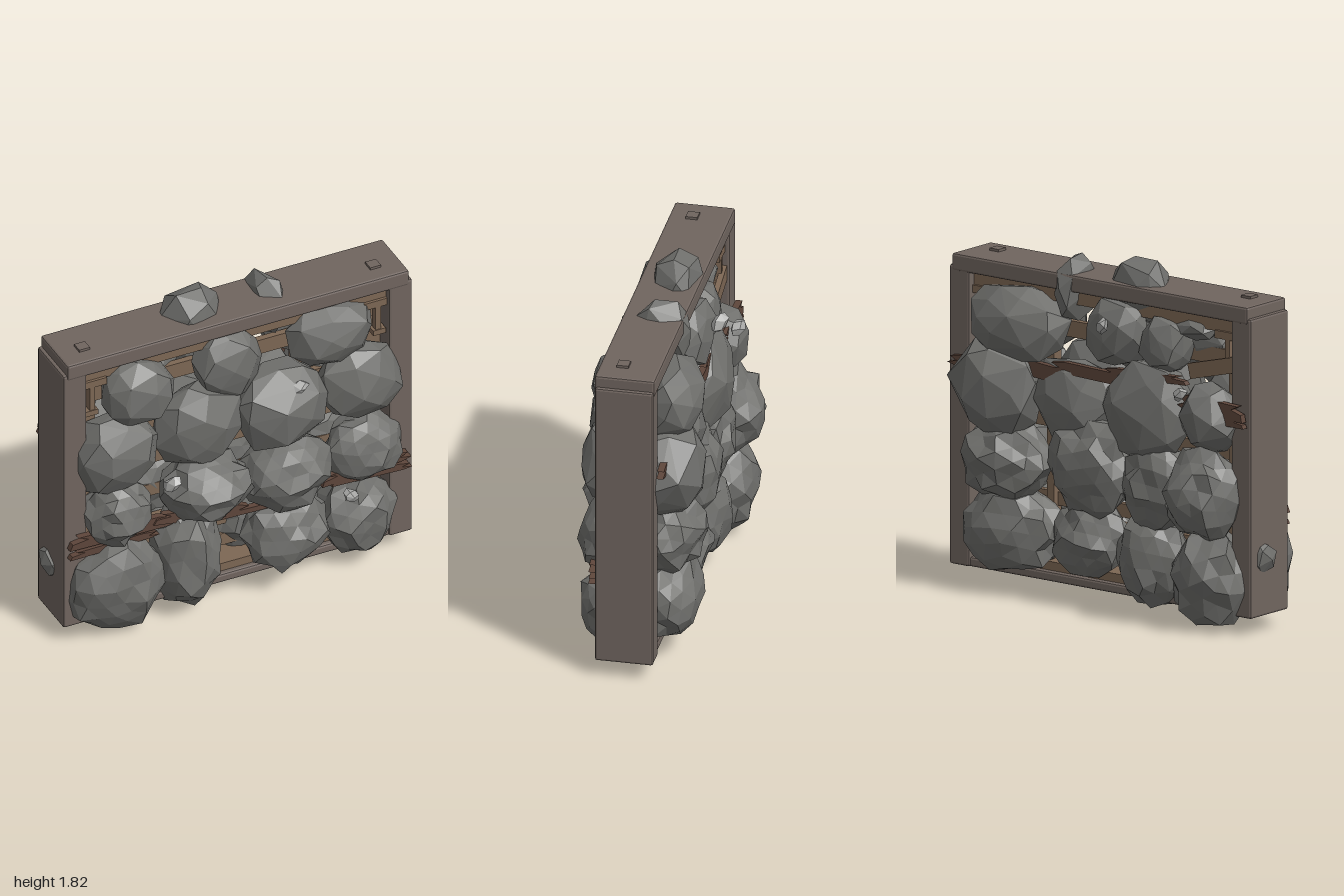
import * as THREE from 'three';
import { RoundedBoxGeometry } from 'three/addons/geometries/RoundedBoxGeometry.js';
import { ConvexGeometry } from 'three/addons/geometries/ConvexGeometry.js';

const mat = (color) => new THREE.MeshStandardMaterial({ color, flatShading: true });
const STONE = mat(0x70706d), BEAM = mat(0x70655f), WOOD = mat(0x7d6754), SPLIT = mat(0x5e463b), CHIP = mat(0xa8a8a6);

// Seeded random numbers
let seed = 11;
const rnd = () => {
  seed = (seed * 1664525 + 1013904223) % 4294967296;
  return seed / 4294967296;
};

function add(parent, name, geo, material, x = 0, y = 0, z = 0, rz = 0) {
  const m = new THREE.Mesh(geo, material);
  m.name = name;
  m.position.set(x, y, z);
  m.rotation.z = rz;
  parent.add(m);
  return m;
}

// Resize a geometry to exact half extents about its own centre
function fit(geo, hx, hy, hz) {
  geo.center();
  const b = geo.boundingBox ?? (geo.computeBoundingBox(), geo.boundingBox);
  geo.scale(hx / b.max.x, hy / b.max.y, hz / b.max.z);
  geo.computeVertexNormals();
  return geo;
}

// Broad-faceted boulder: hull of evenly spread, jittered points
function boulder(hx, hy, hz, n = 34) {
  const pts = [];
  const turn = rnd() * 6;
  for (let i = 0; i < n; i++) {
    const t = 1 - (2 * (i + 0.5)) / n, a = i * 2.4 + turn + rnd() * 0.5, r = Math.sqrt(1 - t * t);
    const p = new THREE.Vector3(r * Math.cos(a), t, r * Math.sin(a)).multiplyScalar(0.88 + rnd() * 0.2);
    const k = Math.max(Math.abs(p.x), Math.abs(p.y), Math.abs(p.z));
    pts.push(p.multiplyScalar(1 + 0.12 * (1 - k)));
  }
  return fit(new ConvexGeometry(pts), hx, hy, hz);
}

// Rough rubble: sphere whose shared corners move in and out together
function rubble(hx, hy, hz) {
  const geo = new THREE.IcosahedronGeometry(1, 2);
  geo.rotateX(rnd() * 6).rotateY(rnd() * 6);
  const pos = geo.attributes.position, moved = new Map(), v = new THREE.Vector3();
  for (let i = 0; i < pos.count; i++) {
    v.fromBufferAttribute(pos, i);
    const key = [v.x, v.y, v.z].map((c) => Math.round(c * 1000)).join();
    if (!moved.has(key)) moved.set(key, 0.84 + rnd() * 0.24);
    v.multiplyScalar(moved.get(key));
    pos.setXYZ(i, v.x, v.y, v.z);
  }
  return fit(geo, hx, hy, hz);
}

// Board broken at both ends into points
function splitBoard(length, height, depth) {
  const s = new THREE.Shape(), a = length / 2, b = height / 2;
  s.moveTo(-a, -b);
  for (const [x, y] of [[a * 0.8, -b], [a, -b * 0.6], [a * 0.75, -b * 0.1], [a * 0.93, b * 0.5],
    [a * 0.65, b], [-a * 0.85, b], [-a * 0.65, b * 0.4], [-a * 0.95, 0]]) s.lineTo(x, y);
  const geo = new THREE.ExtrudeGeometry(s, { depth, bevelEnabled: false });
  return geo.translate(0, 0, -depth / 2);
}

export function createModel() {
  seed = 11;
  const model = new THREE.Group();
  model.name = 'stoneWall';
  const group = (name) => {
    const g = new THREE.Group();
    g.name = name;
    model.add(g);
    return g;
  };

  // Heavy outer frame
  const frame = group('frame');
  const beam = (name, w, h, d, x, y) =>
    add(frame, name, new RoundedBoxGeometry(w, h, d, 1, 0.012), BEAM, x, y, 0);
  beam('rightPost', 0.13, 1.55, 0.3, -0.895, 0.875);
  beam('leftPost', 0.13, 1.55, 0.3, 0.93, 0.875);
  beam('topBeam', 1.915, 0.09, 0.31, 0.0175, 1.665);
  beam('bottomBeam', 1.72, 0.05, 0.28, 0.017, 0.125);
  for (const x of [-0.8, 0.83]) add(frame, 'topPeg', new THREE.BoxGeometry(0.06, 0.03, 0.06), BEAM, x, 1.708, 0.035);

  // Inner timber lining, boards and corner brackets
  const timber = group('timber');
  const board = (name, w, h, d, x, y, z, r = 0) =>
    add(timber, name, new THREE.BoxGeometry(w, h, d), WOOD, x, y, z, r);
  board('lintel', 1.7, 0.075, 0.22, 0.017, 1.585, 0);
  board('sill', 1.7, 0.05, 0.22, 0.017, 0.17, 0);
  board('sideLining', 0.1, 1.42, 0.08, -0.78, 0.86, 0);
  board('sideLining', 0.1, 1.42, 0.08, 0.82, 0.86, 0);
  board('upright', 0.045, 1.4, 0.06, -0.08, 0.85, 0.03);
  board('upright', 0.045, 1.4, 0.06, 0.42, 0.85, -0.02);
  for (const y of [0.27, 0.4, 0.5, 0.7, 0.9, 1.12, 1.39]) board('crossBoard', 1.6, y > 1.3 ? 0.085 : 0.07, 0.035, 0.017, y, 0);
  board('brace', 0.32, 0.07, 0.03, 0.74, 1.42, 0.04, 0.5);
  board('brace', 0.32, 0.08, 0.03, -0.7, 1.36, -0.12, -0.25);
  for (const z of [-0.1, 0.1]) for (const s of [-1, 1]) {
    const x = 0.017 + s * 0.785;
    board('bracketArm', 0.13, 0.04, 0.05, x, 1.535, z);
    board('bracketLeg', 0.03, 0.19, 0.04, x + s * 0.015, 1.44, z);
    board('bracketFoot', 0.07, 0.03, 0.05, x + s * 0.02, 1.36, z);
  }

  // Broken boards across the front and back: length, height, x, y, z, tilt
  const broken = group('brokenBoards');
  for (const [l, h, x, y, z, r] of [
    [0.6, 0.07, -0.64, 0.62, 0.17, -0.02], [0.5, 0.04, -0.69, 0.555, 0.17, 0.01],
    [0.55, 0.06, -0.2, 0.6, 0.18, -0.16], [0.5, 0.03, 0.15, 0.54, 0.18, -0.03],
    [0.5, 0.06, 0.72, 0.59, 0.17, 0.06], [0.45, 0.04, 0.75, 0.545, 0.17, -0.04],
    [0.5, 0.06, 0.72, 1.17, -0.18, 0.02], [0.45, 0.08, 0.42, 1.2, -0.18, 0.08],
    [0.6, 0.06, 0.02, 1.23, -0.18, 0.03], [0.55, 0.04, -0.3, 1.27, -0.18, -0.04],
    [0.42, 0.08, -0.73, 1.17, -0.18, 0.05], [0.35, 0.04, -0.77, 1.11, -0.18, 0]
  ]) add(broken, 'brokenBoard', splitBoard(l, h, 0.035), SPLIT, x, y, z, r);

  // Stones: x, y, half width, half height, outer reach in z; the lower courses are rougher
  const courses = {
    front: [
      [-0.53, 1.41, 0.2, 0.2, 0.25], [-0.02, 1.43, 0.19, 0.21, 0.23], [0.55, 1.44, 0.24, 0.18, 0.26],
      [-0.65, 1.08, 0.23, 0.23, 0.29], [-0.2, 1.12, 0.24, 0.23, 0.27], [0.25, 1.11, 0.25, 0.24, 0.33], [0.7, 1.11, 0.23, 0.22, 0.28],
      [-0.66, 0.74, 0.19, 0.2, 0.31], [-0.17, 0.75, 0.24, 0.19, 0.37], [0.27, 0.71, 0.26, 0.21, 0.36], [0.73, 0.71, 0.22, 0.2, 0.29],
      [-0.67, 0.32, 0.27, 0.31, 0.33], [-0.28, 0.33, 0.19, 0.31, 0.32], [0.27, 0.33, 0.24, 0.23, 0.34], [0.69, 0.29, 0.21, 0.24, 0.28]
    ],
    back: [
      [0.53, 1.41, 0.28, 0.2, -0.32], [-0.06, 1.45, 0.18, 0.17, -0.23], [-0.36, 1.42, 0.15, 0.15, -0.2],
      [0.67, 1.07, 0.27, 0.27, -0.35], [-0.28, 1.08, 0.27, 0.26, -0.28], [0.2, 1.05, 0.25, 0.22, -0.24], [-0.7, 1.1, 0.18, 0.18, -0.28],
      [0.61, 0.69, 0.28, 0.22, -0.35], [0.08, 0.74, 0.27, 0.26, -0.3], [-0.35, 0.7, 0.23, 0.23, -0.29], [-0.68, 0.72, 0.21, 0.25, -0.37],
      [0.6, 0.35, 0.29, 0.23, -0.32], [0.11, 0.36, 0.23, 0.2, -0.27], [-0.3, 0.31, 0.22, 0.25, -0.28], [-0.69, 0.29, 0.23, 0.26, -0.33]
    ]
  };
  for (const [side, list] of Object.entries(courses)) {
    const stones = group(side + 'Stones');
    for (const [x, y, hx, hy, reach] of list) {
      const inner = Math.sign(reach) * (y < 0.5 ? -0.06 : -0.02);
      const hz = Math.abs(reach - inner) / 2;
      add(stones, 'stone', (y > 1 ? boulder : rubble)(hx, hy, hz), STONE, x, y, (reach + inner) / 2);
    }
  }

  // Loose stones poking through the beams
  const loose = group('looseStones');
  for (const [x, y, z, hx, hy, hz] of [
    [-0.165, 1.66, -0.02, 0.17, 0.17, 0.125], [0.265, 1.62, -0.04, 0.09, 0.17, 0.145],
    [-0.92, 0.4, -0.03, 0.08, 0.09, 0.08], [0.27, 0.11, 0, 0.12, 0.035, 0.1], [-0.55, 1.53, -0.04, 0.12, 0.06, 0.1]
  ]) add(loose, 'looseStone', boulder(hx, hy, hz, 20), STONE, x, y, z);

  // Small pale chips
  for (const [x, y, z, tilt] of [[-0.4, 0.88, 0.25, -0.7], [0.31, 1.26, 0.25, -1.1], [0.6, 0.51, 0.26, 0.9],
    [-0.09, 1.51, -0.26, 0.5], [-0.58, 1.23, -0.25, 1.0]]) {
    add(loose, 'chip', boulder(0.028, 0.055, 0.035, 14), CHIP, x, y, z, tilt).rotation.x = z > 0 ? 0.5 : -0.6;
  }
  return model;
}
